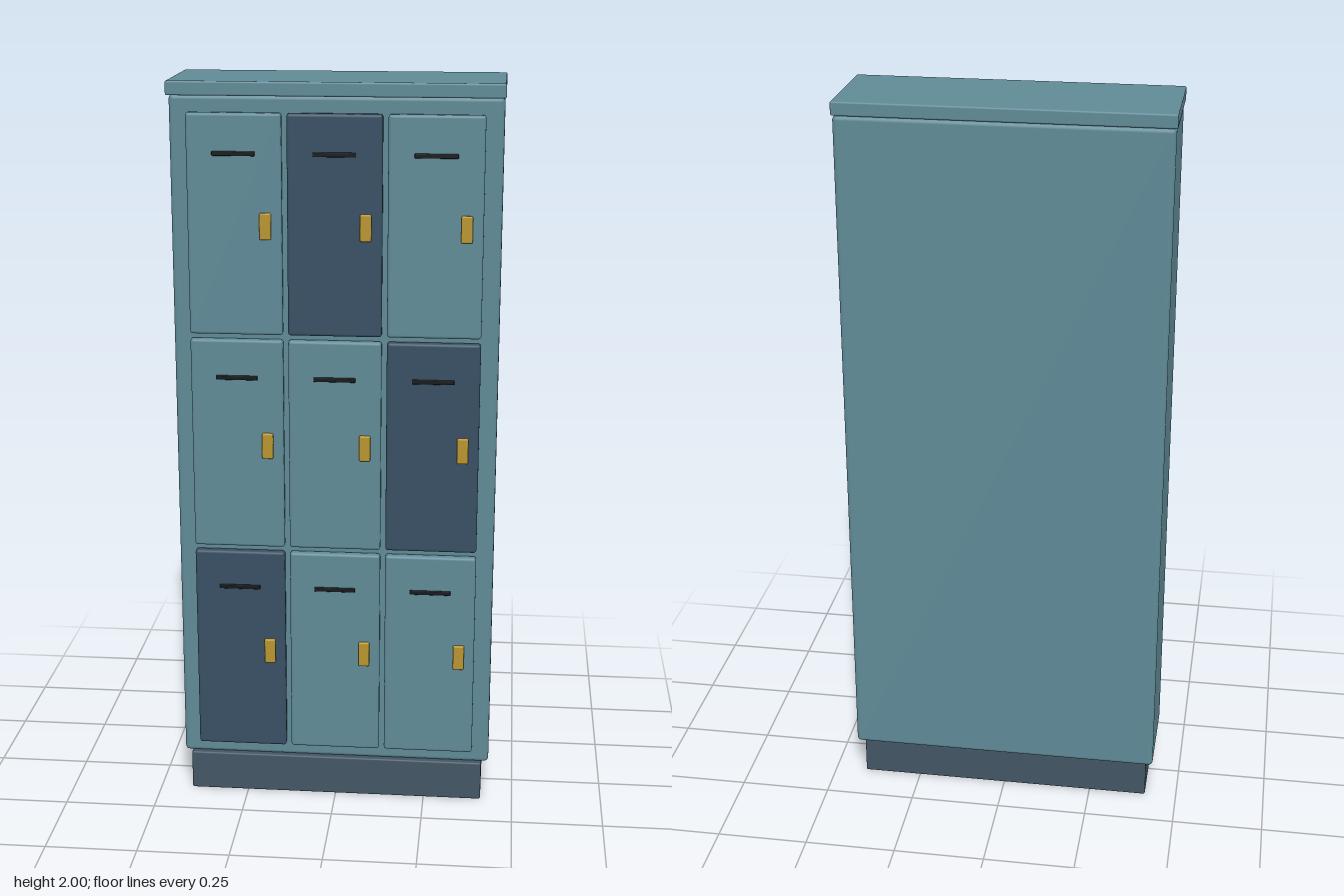
import * as THREE from 'three';
import { RoundedBoxGeometry } from 'three/addons/geometries/RoundedBoxGeometry.js';

const paint = (color) => new THREE.MeshStandardMaterial({ color });

// Rounded box given by its extents along each axis
function block(name, material, [x0, x1], [y0, y1], [z0, z1], radius) {
  const geometry = new RoundedBoxGeometry(x1 - x0, y1 - y0, z1 - z0, 3, radius);
  const mesh = new THREE.Mesh(geometry, material);
  mesh.name = name;
  mesh.position.set((x0 + x1) / 2, (y0 + y1) / 2, (z0 + z1) / 2);
  return mesh;
}

const around = (centre, size) => [centre - size / 2, centre + size / 2];

export function createModel() {
  const teal = paint(0x5f8a96);
  const navy = paint(0x384f63);
  const slate = paint(0x425563);
  const brass = paint(0xb8942f);
  const black = paint(0x15191c);

  const model = new THREE.Group();
  model.name = 'lockerCabinet';

  // Plinth, cabinet body and top slab
  model.add(
    block('plinth', slate, [-0.411, 0.411], [0, 0.112], [-0.132, 0.127], 0.005),
    block('cabinetBody', teal, [-0.431, 0.431], [0.112, 1.963], [-0.152, 0.118], 0.012),
    block('topSlab', teal, [-0.434, 0.434], [1.963, 2], [-0.154, 0.146], 0.005),
  );

  // Three by three doors, one dark door in each row
  const columns = [-0.261, 0, 0.261];
  const rows = [1.63, 1.036, 0.441];
  const darkColumn = [1, 2, 0];
  rows.forEach((y, row) => {
    columns.forEach((x, column) => {
      const locker = new THREE.Group();
      locker.name = `locker${row + 1}${column + 1}`;
      const material = column === darkColumn[row] ? navy : teal;
      locker.add(
        block('door', material, around(x, 0.247), around(y, 0.58), [0.117, 0.143], 0.008),
        block('ventSlot', black, around(x, 0.112), around(y + 0.187, 0.012), [0.137, 0.147], 0.002),
        block('handle', brass, around(x + 0.081, 0.03), around(y, 0.07), [0.136, 0.152], 0.004),
      );
      model.add(locker);
    });
  });

  return model;
}
